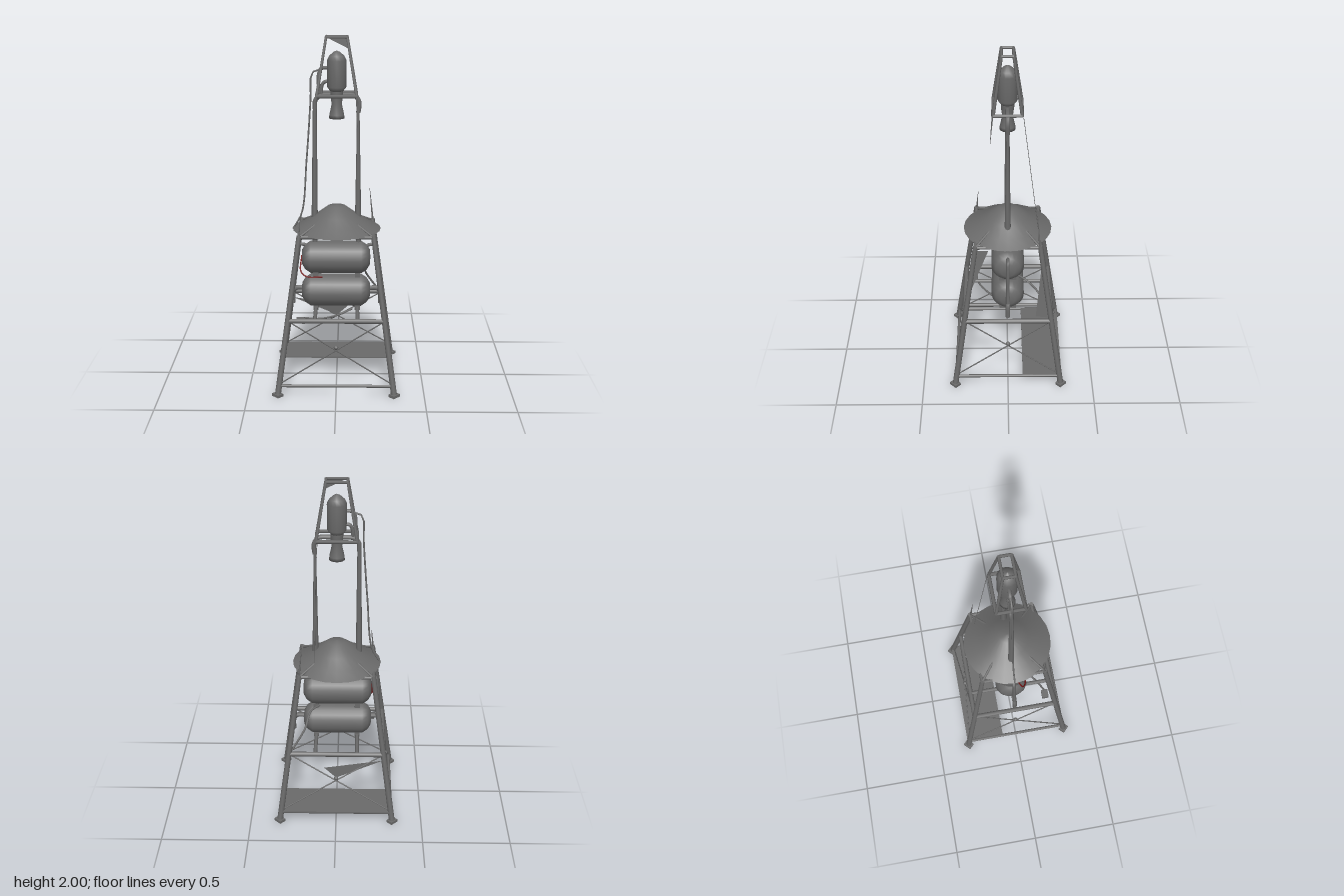
import * as THREE from 'three';

const steel = new THREE.MeshStandardMaterial({ color: 0x6a6a6a, side: THREE.DoubleSide });
steel.name = 'grey steel';
const red = new THREE.MeshStandardMaterial({ color: 0x7a1414 });
red.name = 'red cable';

const V = (x, y, z) => new THREE.Vector3(x, y, z);

export function createModel() {
  const model = new THREE.Group();

  const group = (name) => {
    const g = new THREE.Group();
    g.name = name;
    model.add(g);
    return g;
  };
  const add = (parent, name, geometry, material = steel) => {
    const mesh = new THREE.Mesh(geometry, material);
    mesh.name = name;
    parent.add(mesh);
    return mesh;
  };
  // Straight rod between two points, optionally tapered
  const rod = (parent, name, a, b, r, rEnd = r, sides = 8) => {
    const d = b.clone().sub(a);
    const mesh = add(parent, name, new THREE.CylinderGeometry(rEnd, r, d.length(), sides));
    mesh.position.copy(a).addScaledVector(d, 0.5);
    mesh.quaternion.setFromUnitVectors(V(0, 1, 0), d.normalize());
    return mesh;
  };
  // Bent pipe through a few points
  const pipe = (parent, name, points, r, material = steel) =>
    add(parent, name, new THREE.TubeGeometry(
      new THREE.CatmullRomCurve3(points.map((p) => V(...p)), false, 'centripetal'), 24, r, 7), material);
  // Thin triangular sheet
  const gusset = (parent, name, ...points) => {
    const g = new THREE.BufferGeometry().setFromPoints(points.map((p) => V(...p)));
    g.computeVertexNormals();
    return add(parent, name, g);
  };
  const lathe = (points, sides) =>
    new THREE.LatheGeometry(points.map((p) => new THREE.Vector2(...p)), sides);

  // Point on a tower leg at a given height
  const leg = (sx, sz, y) => V(sx * (0.33 - 0.135 * y), y, sz * (0.313 - 0.145 * y));
  const corners = [[1, 1], [1, -1], [-1, -1], [-1, 1]];

  // Four splayed legs on square feet
  const legs = group('legs');
  for (const [sx, sz] of corners) {
    rod(legs, 'leg', leg(sx, sz, 0.01), leg(sx, sz, 0.91), 0.017, 0.014);
    const foot = add(legs, 'foot', new THREE.BoxGeometry(0.05, 0.016, 0.04));
    foot.position.copy(leg(sx, sz, 0)).setY(0.008);
    foot.rotation.y = sx * sz * Math.PI / 4;
  }

  // Ring beams and cross braces on all four sides
  const frame = group('towerFrame');
  corners.forEach((c, i) => {
    const n = corners[(i + 1) % 4];
    for (const [y, r] of [[0.06, 0.009], [0.43, 0.014], [0.9, 0.01]]) {
      rod(frame, 'ringBeam', leg(...c, y), leg(...n, y), r);
    }
    rod(frame, 'crossBrace', leg(...c, 0.07), leg(...n, 0.43), 0.004, 0.004, 5);
    rod(frame, 'crossBrace', leg(...n, 0.07), leg(...c, 0.43), 0.004, 0.004, 5);
    const hub = leg(...c, 0.28).add(leg(...n, 0.28)).multiplyScalar(0.5);
    add(frame, 'braceHub', new THREE.SphereGeometry(0.013, 8, 6)).position.copy(hub);
    rod(frame, 'roofRafter', leg(...c, 0.9), V(0, 1.02, 0), 0.007);
  });
  for (const x of [-0.12, 0.12]) {
    rod(frame, 'tankBearer', V(x, 0.432, 0.25), V(x, 0.432, -0.25), 0.011);
  }

  // Walkway plate along the back
  const walkway = add(model, 'walkway', new THREE.BoxGeometry(0.64, 0.008, 0.23));
  walkway.position.set(0.003, 0.066, -0.202);

  // Sheet gussets
  const sheets = group('gussets');
  gusset(sheets, 'rearGusset', [0.222, 0.81, -0.193], [0.268, 0.45, -0.245], [0.265, 0.46, -0.16]);
  gusset(sheets, 'roofGusset', [0.21, 0.88, 0.185], [0.21, 0.88, 0.11], [0.25, 0.6, 0.222]);
  gusset(sheets, 'frontGusset', [-0.27, 0.39, -0.25], [0.07, 0.34, -0.255], [0.0, 0.275, -0.26]);

  // Shallow round roof
  add(model, 'roof', lathe([[0.252, 0.905], [0.19, 0.938], [0.12, 0.985], [0.05, 1.036], [0, 1.042]], 24));

  // Two lying tanks with domed ends
  const tanks = group('tanks');
  const half = [[0.198, 0.0], [0.196, 0.042], [0.178, 0.072], [0.145, 0.094]];
  const profile = [...half.map(([x, r]) => [r, -x]), ...half.map(([x, r]) => [r, x]).reverse()];
  for (const y of [0.53, 0.73]) {
    const tank = add(tanks, 'tank', lathe(profile, 20));
    tank.rotation.z = -Math.PI / 2;
    tank.position.set(-0.004, y, 0);
    for (const x of [-0.12, 0.12]) {
      const saddle = add(tanks, 'saddle', new THREE.BoxGeometry(0.03, 0.025, 0.1));
      saddle.position.set(x, y - 0.095, 0);
    }
  }

  // Tank plumbing
  const plumbing = group('plumbing');
  for (const s of [-1, 1]) {
    pipe(plumbing, 'tankPipe', [[s * 0.17, 0.54, 0], [s * 0.235, 0.54, 0], [s * 0.252, 0.52, 0],
      [s * 0.255, 0.45, 0]], 0.014);
    pipe(plumbing, 'upperPipe', [[s * 0.16, 0.79, 0], [s * 0.19, 0.805, 0], [s * 0.225, 0.80, 0],
      [s * 0.235, 0.76, 0], [s * 0.24, 0.62, 0], [s * 0.25, 0.54, 0]], 0.01);
    rod(plumbing, 'tankNeck', V(s * 0.125, 0.8, 0), V(s * 0.125, 0.95, 0), 0.014);
  }
  pipe(plumbing, 'drainPipe', [[-0.18, 0.43, 0.2], [-0.1, 0.41, 0.16], [0, 0.4, 0.08], [0.09, 0.42, 0.02]], 0.006);
  pipe(plumbing, 'sidePipe', [[0.1, 0.64, -0.05], [0.15, 0.63, -0.11], [0.18, 0.56, -0.18], [0.25, 0.45, -0.23]], 0.006);
  const valve = add(plumbing, 'valve', new THREE.BoxGeometry(0.05, 0.025, 0.04));
  valve.position.set(-0.2, 0.415, 0.2);
  pipe(plumbing, 'redCable', [[-0.2, 0.75, 0.03], [-0.205, 0.66, 0.06], [-0.17, 0.635, 0.08], [-0.08, 0.63, 0.07]],
    0.004, red);

  // Two slender masts bending in under the head frame
  const masts = group('masts');
  rod(masts, 'leftMast', V(0.122, 0.94, 0), V(0.12, 1.58, 0), 0.018, 0.007);
  pipe(masts, 'leftMastTop', [[0.12, 1.57, 0], [0.124, 1.63, 0], [0.1, 1.665, 0], [0.03, 1.67, 0]], 0.013);
  rod(masts, 'rightMast', V(-0.126, 0.94, 0), V(-0.122, 1.6, 0), 0.018, 0.011);
  pipe(masts, 'rightMastTop', [[-0.122, 1.59, 0], [-0.118, 1.64, 0], [-0.09, 1.665, 0], [-0.03, 1.67, 0]], 0.013);
  pipe(masts, 'feedLine', [[-0.25, 0.9, 0], [-0.2, 0.99, 0], [-0.17, 1.3, 0], [-0.145, 1.65, 0], [-0.138, 1.79, 0],
    [-0.11, 1.805, 0], [-0.05, 1.82, 0]], 0.005);
  rod(masts, 'stayWire', V(0.21, 0.9, -0.18), V(0.19, 1.1, -0.165), 0.006, 0.001, 5);
  rod(masts, 'stayWire', V(-0.21, 0.9, 0.18), V(-0.2, 1.02, 0.17), 0.006, 0.001, 5);
  rod(masts, 'stayWire', V(0.12, 0.98, -0.17), V(0.11, 1.66, -0.085), 0.0015, 0.0015, 4);
  rod(masts, 'stayWire', V(0.11, 1.67, 0.08), V(0.115, 1.5, 0.095), 0.005, 0.001, 5);

  // Tapered open frame at the top
  const head = group('headFrame');
  const headPoint = (sx, sz, top) => (top ? V(sx * 0.058, 1.988, sz * 0.032) : V(sx * 0.11, 1.672, sz * 0.077));
  corners.forEach((c, i) => {
    const n = corners[(i + 1) % 4];
    rod(head, 'headPost', headPoint(...c, false), headPoint(...c, true), 0.009, 0.008, 6);
    rod(head, 'lowerRail', headPoint(...c, false), headPoint(...n, false), 0.01, 0.01, 6);
    rod(head, 'upperRail', headPoint(...c, true), headPoint(...n, true), 0.008, 0.008, 6);
  });
  gusset(head, 'topGusset', [-0.058, 1.99, 0.034], [0.06, 1.93, 0.036], [0.058, 1.99, 0.034]);

  // Hanging canister with a flared nozzle
  const canister = group('canister');
  add(canister, 'body', lathe([[0, 1.69], [0.035, 1.69], [0.054, 1.715], [0.055, 1.86], [0.042, 1.885],
    [0.02, 1.905], [0, 1.915]], 14));
  add(canister, 'nozzle', lathe([[0, 1.54], [0.044, 1.54], [0.042, 1.56], [0.029, 1.62], [0.036, 1.67], [0.036, 1.7]], 14));
  pipe(canister, 'sidePipe', [[-0.04, 1.82, 0], [-0.085, 1.815, 0], [-0.1, 1.78, 0], [-0.098, 1.68, 0]], 0.01);
  pipe(canister, 'sidePipe', [[-0.04, 1.745, 0], [-0.07, 1.74, 0], [-0.085, 1.71, 0], [-0.085, 1.67, 0]], 0.01);

  return model;
}
